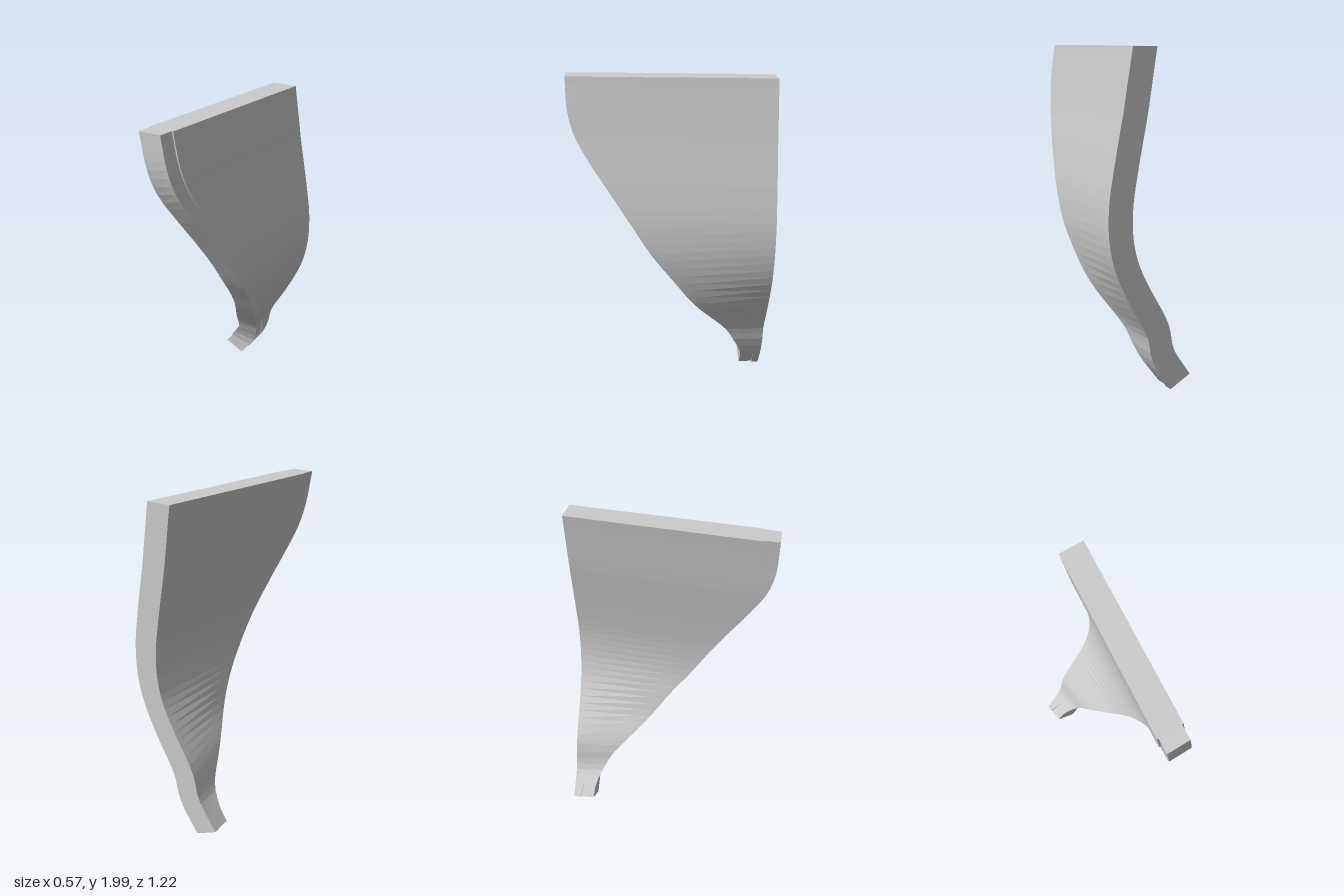
import * as THREE from 'three';

// [height, curve centre x at the leading edge, leading edge z, seam z, sideways lean per unit z]
const stations = [
  [0.04, -0.207, -0.48, -0.567, -0.04],
  [0.13, -0.14, -0.475, -0.557, -0.06],
  [0.2, -0.09, -0.45, -0.53, -0.08],
  [0.27, -0.06, -0.412, -0.5, -0.08],
  [0.33, -0.046, -0.38, -0.468, -0.08],
  [0.4, -0.022, -0.325, -0.42, -0.08],
  [0.6, 0.077, -0.14, -0.232, -0.02],
  [0.78, 0.12, -0.008, -0.095, 0.06],
  [0.95, 0.131, 0.12, 0.02, 0.095],
  [1.14, 0.112, 0.24, 0.15, 0.11],
  [1.34, 0.069, 0.37, 0.28, 0.11],
  [1.5, 0.028, 0.475, 0.39, 0.11],
  [1.65, -0.01, 0.56, 0.47, 0.11],
  [1.8, -0.038, 0.602, 0.512, 0.11],
  [2, -0.07, 0.61, 0.523, 0.11],
];
const BACK = -0.61, ROWS = 40;

// Smooth interpolation of one column of the stations by height
function sample(col, y) {
  const n = stations.length, s = stations;
  y = THREE.MathUtils.clamp(y, s[0][0], s[n - 1][0]);
  let i = 0;
  while (i < n - 2 && y > s[i + 1][0]) i++;
  const slope = (j) => {
    const a = s[Math.max(j - 1, 0)], b = s[Math.min(j + 1, n - 1)];
    return (b[col] - a[col]) / (b[0] - a[0]);
  };
  const h = s[i + 1][0] - s[i][0], t = (y - s[i][0]) / h, t2 = t * t, t3 = t2 * t;
  return (2 * t3 - 3 * t2 + 1) * s[i][col] + (t3 - 2 * t2 + t) * h * slope(i)
    + (3 * t2 - 2 * t3) * s[i + 1][col] + (t3 - t2) * h * slope(i + 1);
}

// A bent slab: four-cornered sections stacked along the curve
function slab(name, halfThickness, frontZ, backZ) {
  const positions = [], index = [];
  for (let j = 0; j <= ROWS; j++) {
    const y = THREE.MathUtils.lerp(stations[0][0], 2, j / ROWS);
    const x = sample(1, y), lean = sample(4, y), edge = sample(2, y);
    // The section is square to the curve, level at the top
    const d = (sample(1, y + 0.02) - sample(1, y - 0.02)) / 0.04;
    let normal = new THREE.Vector2(1, -d).normalize();
    if (j === 0) normal.set(0.89, -0.45);
    const level = THREE.MathUtils.smoothstep(y, 1.7, 2);
    normal.y *= 1 - level;
    const corner = (side, zOf) => {
      const cy = y + side * halfThickness * normal.y, z = zOf(cy);
      positions.push(x + side * halfThickness * normal.x + lean * (edge - z), cy, z);
    };
    corner(1, frontZ);
    corner(1, backZ);
    corner(-1, backZ);
    corner(-1, frontZ);
  }
  for (let j = 0; j < ROWS; j++) {
    for (let i = 0; i < 4; i++) {
      const a = j * 4 + i, b = j * 4 + (i + 1) % 4;
      index.push(a, b, b + 4, a, b + 4, a + 4);
    }
  }
  const t = ROWS * 4;
  index.push(0, 2, 1, 0, 3, 2, t, t + 1, t + 2, t, t + 2, t + 3);
  const geometry = new THREE.BufferGeometry();
  geometry.setAttribute('position', new THREE.Float32BufferAttribute(positions, 3));
  geometry.setIndex(index);
  geometry.computeVertexNormals();
  const mesh = new THREE.Mesh(geometry,
    new THREE.MeshStandardMaterial({ color: 0xcccccc, flatShading: true }));
  mesh.name = name;
  return mesh;
}

export function createModel() {
  const group = new THREE.Group();
  group.name = 'curvedBlade';
  const seam = (y) => sample(3, y);
  // Wide curved plate, and the slightly thinner strip along its leading edge
  group.add(slab('mainPlate', 0.077, seam, () => BACK));
  group.add(slab('edgeStrip', 0.068, (y) => sample(2, y), seam));
  return group;
}
